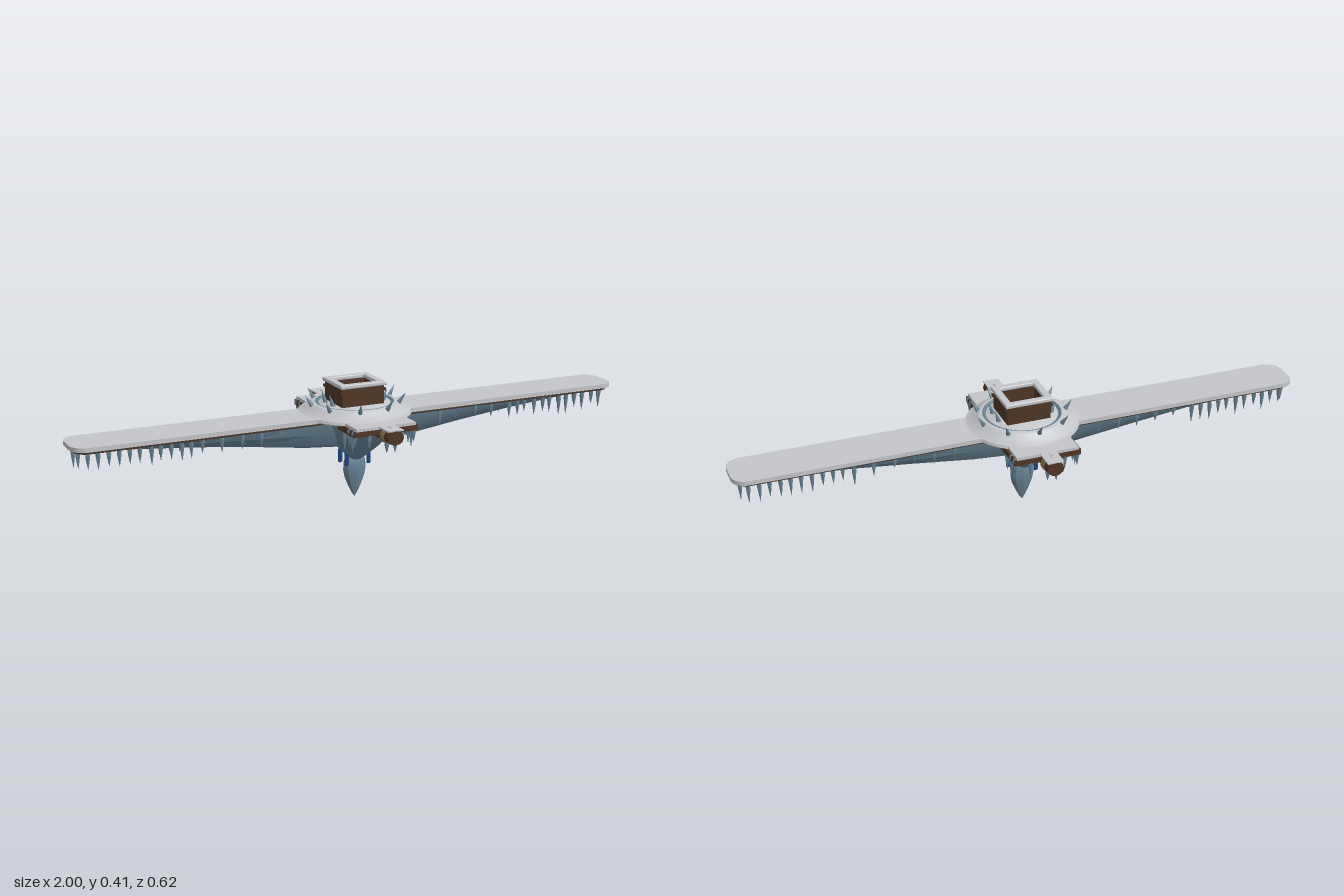
import * as THREE from 'three';
import { toCreasedNormals } from 'three/addons/utils/BufferGeometryUtils.js';

const mat = (name, color) => {
  const m = new THREE.MeshStandardMaterial({ color });
  m.name = name;
  return m;
};

export function createModel() {
  const root = new THREE.Group();
  root.name = 'frozenWingedPlatform';
  const snow = mat('snow', 0xc3c5c9);
  const ice = mat('ice', 0x678395);
  const wood = mat('wood', 0x503524);
  const darkWood = mat('dark wood', 0x463428);
  const rope = mat('rope', 0x78634a);
  const blue = mat('deep blue', 0x1f467c);

  let seed = 7;
  const rand = () => (seed = (seed * 16807) % 2147483647) / 2147483647;

  const add = (name, geo, material, x = 0, y = 0, z = 0, parent = root) => {
    const m = new THREE.Mesh(geo, material);
    m.name = name;
    m.position.set(x, y, z);
    parent.add(m);
    return m;
  };
  const box = (name, w, h, d, material, x, y, z) =>
    add(name, new THREE.BoxGeometry(w, h, d), material, x, y, z);
  const lathe = (pts, sides, crease = 0.6) => toCreasedNormals(
    new THREE.LatheGeometry(pts.map(p => new THREE.Vector2(p[0], p[1])), sides), crease);

  // Horizontal slab with rounded corners, bottom at y = 0
  const slab = (hx, hz, r, h) => {
    const s = new THREE.Shape();
    s.moveTo(-hx + r, -hz);
    s.lineTo(hx - r, -hz);
    s.absarc(hx - r, -hz + r, r, -Math.PI / 2, 0);
    s.absarc(hx - r, hz - r, r, 0, Math.PI / 2);
    s.absarc(-hx + r, hz - r, r, Math.PI / 2, Math.PI);
    s.absarc(-hx + r, -hz + r, r, Math.PI, Math.PI * 1.5);
    return new THREE.ExtrudeGeometry(s, { depth: h, bevelEnabled: false, curveSegments: 6 })
      .rotateX(-Math.PI / 2);
  };

  // Long wing deck
  add('wingPlank', slab(0.988, 0.07, 0.045, 0.01), darkWood, 0, 0.288, 0);
  add('wingSnow', slab(1, 0.08, 0.05, 0.015), snow, 0, 0.297, 0);

  // Tapered ice keel under the wings: [x, half width, lowest y]
  const stations = [[-0.97, 0.05, 0.283], [-0.8, 0.058, 0.272], [-0.6, 0.06, 0.251],
    [-0.4, 0.062, 0.226], [-0.18, 0.062, 0.195], [0, 0.062, 0.18]];
  const all = [...stations, ...stations.slice(0, -1).reverse().map(([x, w, y]) => [-x, w, y])];
  const section = [[1, 0], [0.86, 0.4], [0.4, 0.88], [0, 1], [-0.4, 0.88], [-0.86, 0.4], [-1, 0]];
  const pos = [], idx = [], n = section.length;
  all.forEach(([x, w, yb], i) => section.forEach(([k, t], j) => {
    pos.push(x, 0.288 + (yb - 0.288) * t, w * k);
    if (i < all.length - 1 && j < n - 1) {
      const a = i * n + j;
      idx.push(a, a + 1, a + n, a + 1, a + n + 1, a + n);
    }
  }));
  const keel = new THREE.BufferGeometry();
  keel.setAttribute('position', new THREE.Float32BufferAttribute(pos, 3));
  keel.setIndex(idx);
  add('iceKeel', toCreasedNormals(keel, 0.5), ice);

  // Hub: ice body narrower across the wings, snowy shelf, thin ice ring and snowy floor
  const body = add('hubBody', lathe([[0, 0.135], [0.03, 0.14], [0.07, 0.166], [0.125, 0.205],
    [0.168, 0.255], [0.183, 0.278], [0.186, 0.3]], 16, 0.45), ice);
  body.scale.x = 0.64;
  add('hubShelf', lathe([[0, 0.297], [0.185, 0.297], [0.194, 0.303], [0.19, 0.312],
    [0.165, 0.321], [0.15, 0.336], [0.143, 0.34], [0.134, 0.34]], 40), snow);
  add('hubRing', lathe([[0.134, 0.34], [0.131, 0.341], [0.126, 0.336], [0.122, 0.336]], 40), ice);
  add('hubFloor', lathe([[0.126, 0.333], [0.118, 0.338], [0, 0.338]], 40), snow);

  // Hanging crystal with two pairs of clips
  const crystal = add('hangingCrystal', lathe([[0, 0], [0.006, 0.015], [0.015, 0.045],
    [0.022, 0.075], [0.025, 0.1], [0.024, 0.13], [0.018, 0.15], [0, 0.167]], 8, 0.25), ice);
  crystal.scale.x = 1.7;
  for (const sx of [-1, 1]) for (const sz of [-1, 1]) {
    const clip = add('crystalClip', new THREE.CapsuleGeometry(0.005, 0.042, 4, 8), blue,
      sx * 0.041, 0.146, sz * 0.026);
    clip.scale.x = 1.6;
  }

  // Open wooden chimney box with a snowy rim
  for (const s of [-1, 1]) {
    box('boxSideWall', 0.012, 0.068, 0.138, wood, s * 0.071, 0.37, 0);
    box('boxEndWall', 0.13, 0.068, 0.012, wood, 0, 0.37, s * 0.063);
    for (const t of [-1, 1]) {
      box('boxHinge', 0.006, 0.01, 0.01, darkWood, s * 0.08, 0.387, t * 0.066);
      const bracket = add('boxBracket', new THREE.ConeGeometry(0.009, 0.045, 6), ice,
        s * 0.1, 0.358, t * 0.03);
      bracket.rotation.z = -s * 0.3;
    }
  }
  const rim = slab(0.083, 0.077, 0.012, 0.011);
  rim.dispose();
  const outline = new THREE.Shape([[-0.083, -0.075], [0.083, -0.075], [0.083, 0.075], [-0.083, 0.075]]
    .map(p => new THREE.Vector2(...p)));
  outline.holes.push(new THREE.Path([[-0.06, -0.052], [-0.06, 0.052], [0.06, 0.052], [0.06, -0.052]]
    .map(p => new THREE.Vector2(...p))));
  add('boxSnowRim', new THREE.ExtrudeGeometry(outline, { depth: 0.006, bevelThickness: 0.004,
    bevelSize: 0.004, bevelSegments: 3, bevelOffset: -0.003 }).rotateX(-Math.PI / 2), snow, 0, 0.405, 0);
  const drift = add('boxSnowDrift', new THREE.SphereGeometry(0.064, 16, 8), snow, 0, 0.338, 0);
  drift.scale.set(1, 0.2, 0.85);

  // Front and back arms: decks, beams and a roped log
  for (const s of [-1, 1]) {
    box('armSnow', 0.216, 0.01, 0.13, snow, 0, 0.306, s * 0.177);
    box('armDeck', 0.2, 0.01, 0.12, darkWood, 0, 0.296, s * 0.175);
    box('armCrossBeam', 0.225, 0.018, 0.012, wood, 0, 0.292, s * 0.238);
    for (const t of [-1, 1]) {
      box('armSideBeam', 0.014, 0.019, 0.13, wood, t * 0.109, 0.292, s * 0.178);
      for (const z of [0.2, 0.23]) {
        add('frostKnob', new THREE.SphereGeometry(0.01, 10, 6), ice, t * 0.111, 0.293, s * z);
      }
    }
    const log = add('log', toCreasedNormals(
      new THREE.CylinderGeometry(0.024, 0.024, 0.19, 12), 0.6), wood, 0, 0.286, s * 0.217);
    log.rotation.x = Math.PI / 2;
    log.scale.x = 1.2;
    box('logSnow', 0.056, 0.004, 0.072, snow, 0, 0.31, s * 0.276);
    for (const z of [0.258, 0.267, 0.276]) {
      const ring = add('logRope', new THREE.TorusGeometry(0.0235, 0.0045, 6, 16), rope, 0, 0.285, s * z);
      ring.scale.x = 1.2;
    }
  }

  // Spikes leaning outward round the hub
  const spikes = new THREE.Group();
  spikes.name = 'hubSpikes';
  root.add(spikes);
  for (let i = 0; i < 9; i++) {
    const pivot = new THREE.Group();
    pivot.name = 'spikePivot';
    pivot.rotation.y = (i + 0.3) / 9 * Math.PI * 2;
    spikes.add(pivot);
    const spike = add('hubSpike', new THREE.ConeGeometry(0.011, 0.058, 7), ice, 0.158, 0.347, 0, pivot);
    spike.rotation.z = -0.6;
  }

  // Icicles under wings, arms and hub
  const icicles = new THREE.Group();
  icicles.name = 'icicles';
  root.add(icicles);
  const icicle = (x, z, len, top = 0.291) => {
    const geo = lathe([[0, -len], [0.004, -len * 0.65], [0.0078, -len * 0.25], [0.006, 0]], 6);
    add('icicle', geo, ice, x, top, z, icicles);
  };
  for (const sx of [-1, 1]) {
    for (let i = 0; i < 21; i++) {
      const x = 0.26 + i * 0.0345;
      const outer = x > 0.6;
      for (const sz of [-1, 1]) {
        if (!outer && (i + (sz > 0 ? 1 : 0)) % 2) continue;
        icicle(sx * x, sz * (0.05 + rand() * 0.016), (outer ? 0.05 : 0.035) + rand() * 0.03);
      }
    }
    for (const z of [-0.03, 0.025]) icicle(sx * 0.972, z, 0.05 + rand() * 0.025);
    for (const sz of [-1, 1]) {
      for (const z of [0.15, 0.188, 0.21, 0.228]) {
        icicle(sx * 0.108, sz * z, 0.035 + rand() * 0.045);
      }
      icicle(sx * 0.06, sz * 0.238, 0.04 + rand() * 0.03);
      icicle(sx * 0.015, sz * 0.276, 0.03 + rand() * 0.02, 0.266);
    }
  }
  return root;
}
